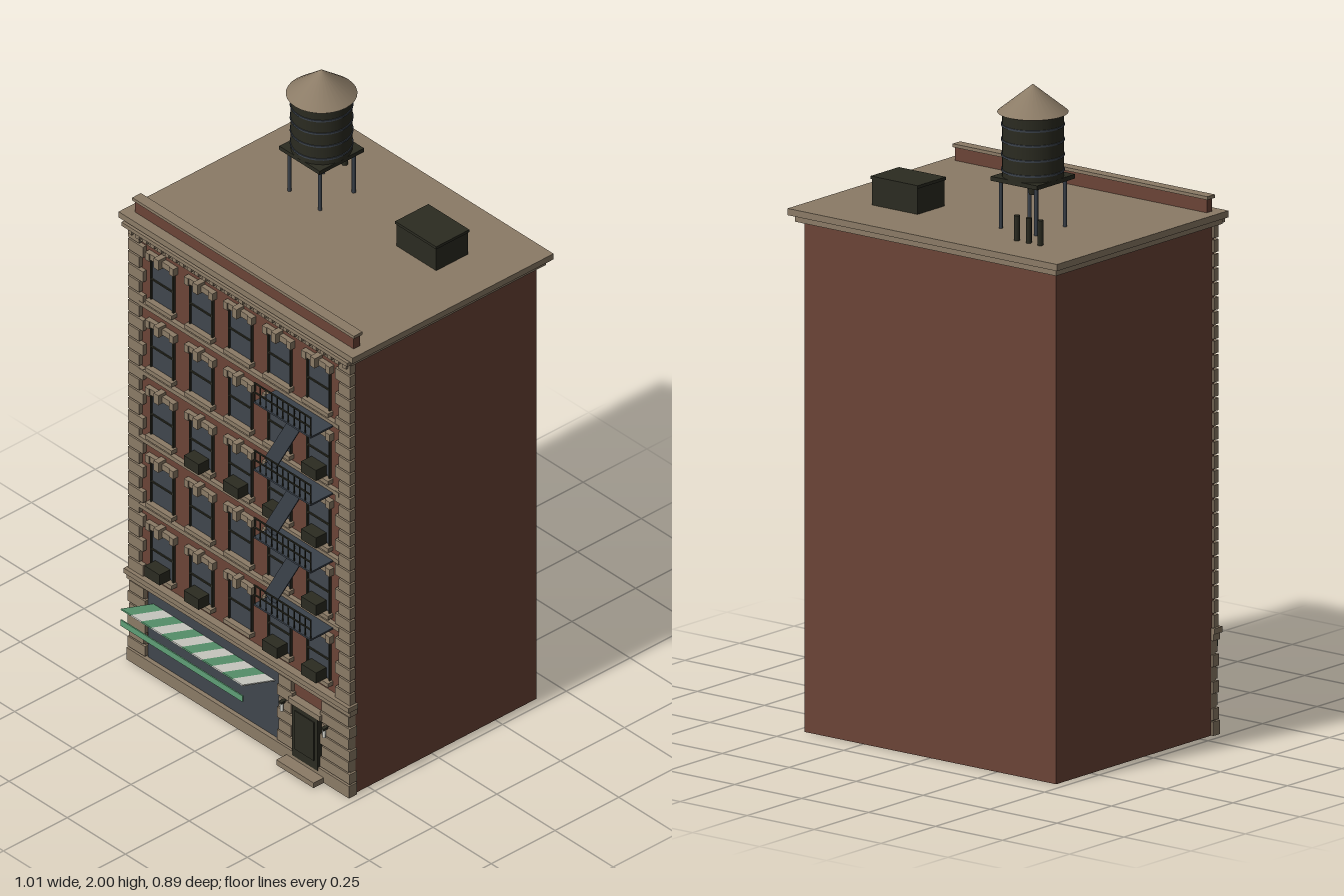
import * as THREE from 'three';

const paint = (name, color) => {
  const m = new THREE.MeshStandardMaterial({ color });
  m.name = name;
  return m;
};

export function createModel() {
  const brick = paint('brick', 0x6b4437);
  const stone = paint('stone', 0x8b7b66);
  const glass = paint('glass', 0x40464d);
  const iron = paint('iron', 0x3b424b);
  const dark = paint('dark wood', 0x2b2b21);
  const green = paint('awning green', 0x5f9f76);
  const white = paint('awning white', 0xdcdcd4);
  green.side = white.side = THREE.DoubleSide;

  const model = new THREE.Group();
  model.name = 'building';
  const group = (name) => {
    const g = new THREE.Group();
    g.name = name;
    model.add(g);
    return g;
  };
  const mesh = (parent, name, geo, mat, x, y, z) => {
    const m = new THREE.Mesh(geo, mat);
    m.name = name;
    m.position.set(x, y, z);
    parent.add(m);
    return m;
  };
  // Box given by its limits on each axis
  const box = (parent, name, mat, x0, x1, y0, y1, z0, z1) =>
    mesh(parent, name, new THREE.BoxGeometry(x1 - x0, y1 - y0, z1 - z0), mat,
      (x0 + x1) / 2, (y0 + y1) / 2, (z0 + z1) / 2);
  const cyl = (parent, name, mat, rTop, rBottom, y0, y1, x, z, sides = 12) =>
    mesh(parent, name, new THREE.CylinderGeometry(rTop, rBottom, y1 - y0, sides), mat, x, (y0 + y1) / 2, z);

  const F = 0.313; // front wall plane

  // Walls, roof cornice and front parapet
  box(model, 'walls', brick, -0.47, 0.47, 0, 1.54, -0.41, F);
  const roof = group('roof');
  box(roof, 'roofSlab', stone, -0.503, 0.503, 1.55, 1.57, -0.447, 0.34);
  box(roof, 'corniceLower', stone, -0.488, 0.488, 1.53, 1.55, -0.432, 0.33);
  box(roof, 'frontCornice', stone, -0.485, 0.485, 1.532, 1.545, F, 0.345);
  box(roof, 'frieze', stone, -0.475, 0.475, 1.5, 1.507, F, 0.325);
  for (let i = 0; i < 30; i++) {
    const x = -0.46 + (i * 0.92) / 29;
    box(roof, 'dentil', stone, x - 0.008, x + 0.008, 1.51, 1.532, F, 0.335);
  }
  box(roof, 'parapet', brick, -0.47, 0.47, 1.57, 1.61, 0.281, 0.306);
  box(roof, 'parapetCap', stone, -0.476, 0.476, 1.61, 1.62, 0.277, 0.311);

  // Corner quoins, alternating long and short
  const quoins = group('quoins');
  const rows = 28, rowH = (1.53 - 0.32) / rows;
  for (let i = 0; i < rows; i++) {
    const y = 0.32 + i * rowH, w = i % 2 ? 0.048 : 0.064;
    for (const s of [-1, 1]) {
      const a = s * 0.477, b = s * (0.477 - w);
      box(quoins, 'quoin', stone, Math.min(a, b), Math.max(a, b), y + 0.003, y + rowH - 0.003, 0.305, 0.327);
    }
  }

  // Windows with lintel, keystone, sill and sashes
  const windows = group('windows');
  const units = group('airConditioners');
  const unitColumns = [[0, 1, 3, 4], [4], [1, 2, 3, 4], [4], []];
  for (let r = 0; r < 5; r++) {
    const y = 0.36 + r * 0.238, top = y + 0.145;
    for (let c = 0; c < 5; c++) {
      const x = (c - 2) * 0.168 - 0.003;
      box(windows, 'windowFrame', iron, x - 0.05, x + 0.05, y, top, F - 0.01, F + 0.002);
      box(windows, 'windowGlass', glass, x - 0.043, x + 0.043, y + 0.006, top - 0.006, F - 0.01, F + 0.004);
      box(windows, 'meetingRail', dark, x - 0.047, x + 0.047, y + 0.07, y + 0.075, F, F + 0.008);
      for (const s of [-1, 1]) {
        box(windows, 'jamb', dark, x + s * 0.048 - 0.0025, x + s * 0.048 + 0.0025, y, top, F, F + 0.008);
      }
      box(windows, 'sill', stone, x - 0.057, x + 0.057, y - 0.014, y, F, 0.334);
      box(windows, 'lintel', stone, x - 0.06, x + 0.06, top, top + 0.02, F, 0.328);
      for (const s of [-1, 1]) {
        box(windows, 'lintelEnd', stone, x + s * 0.052 - 0.009, x + s * 0.052 + 0.009, top - 0.006, top + 0.02, F, 0.331);
      }
      box(windows, 'keystone', stone, x - 0.01, x + 0.01, top - 0.004, top + 0.03, F, 0.343);
      if (unitColumns[r].includes(c)) {
        box(units, 'airConditioner', dark, x - 0.032, x + 0.032, y, y + 0.037, F, 0.358);
      }
    }
    // Belt course above each of the lower four storeys
    if (r < 4) box(windows, 'beltCourse', stone, -0.43, 0.43, y + 0.2, y + 0.214, F, 0.328);
  }

  // Ground floor: base, piers, shop window, belt
  const shop = group('groundFloor');
  box(shop, 'base', stone, -0.478, 0.478, 0, 0.042, 0.3, 0.332);
  box(shop, 'mainBelt', stone, -0.48, 0.48, 0.285, 0.305, 0.3, 0.33);
  box(shop, 'mainBeltTop', stone, -0.483, 0.483, 0.305, 0.322, 0.3, 0.338);
  box(shop, 'shopGlass', glass, -0.4, 0.165, 0.042, 0.285, 0.3, F + 0.005);
  for (const [x0, x1] of [[-0.477, -0.403], [0.165, 0.23], [0.35, 0.477]]) {
    box(shop, 'pierCore', stone, x0 + 0.006, x1 - 0.006, 0.042, 0.285, 0.3, 0.32);
    for (let i = 0; i < 6; i++) {
      const y = 0.044 + i * 0.04, d = i % 2 ? 0.006 : 0;
      box(shop, 'pierBlock', stone, x0 + d, x1 - d, y + 0.002, y + 0.037, 0.3, 0.328);
    }
  }

  // Entrance with step, hood and lamps
  const entrance = group('entrance');
  box(entrance, 'door', dark, 0.236, 0.346, 0.03, 0.212, 0.3, 0.334);
  box(entrance, 'doorPanel', dark, 0.25, 0.332, 0.06, 0.195, 0.33, 0.337);
  box(entrance, 'doorHood', stone, 0.222, 0.358, 0.212, 0.23, 0.3, 0.338);
  box(entrance, 'doorStep', stone, 0.21, 0.37, 0, 0.018, 0.3, 0.372);
  for (const x of [0.196, 0.378]) {
    box(entrance, 'lampBracket', dark, x - 0.006, x + 0.006, 0.195, 0.202, 0.32, 0.345);
    cyl(entrance, 'lamp', white, 0.006, 0.005, 0.168, 0.195, x, 0.338, 8);
  }

  // Striped awning rising outward, with a hanging green valance
  const awning = group('awning');
  const w = 0.523 / 12, len = Math.hypot(0.13, 0.043);
  for (let i = 0; i < 12; i++) {
    const stripe = mesh(awning, 'awningStripe', new THREE.BoxGeometry(w, 0.004, len),
      i % 2 ? white : green, -0.378 + (i + 0.5) * w, 0.259, 0.38);
    stripe.rotation.x = -Math.atan2(0.043, 0.13);
  }
  box(awning, 'valance', green, -0.378, 0.145, 0.223, 0.244, 0.442, 0.446);

  // Fire escape: landings, railings and stairs
  const escape = group('fireEscape');
  for (let k = 0; k < 4; k++) {
    const y = 0.56 + k * 0.238;
    box(escape, 'landing', iron, 0.16, 0.405, y - 0.003, y + 0.003, F, 0.415);
    for (const h of [0.035, 0.068]) {
      box(escape, 'rail', dark, 0.16, 0.405, y + h - 0.002, y + h + 0.002, 0.411, 0.415);
    }
    for (let i = 0; i < 11; i++) {
      const x = 0.162 + i * 0.0241;
      box(escape, 'baluster', dark, x - 0.0015, x + 0.0015, y, y + 0.068, 0.411, 0.414);
    }
    if (k < 3) {
      const stair = mesh(escape, 'stair', new THREE.BoxGeometry(0.262, 0.048, 0.005), iron, 0.238, y + 0.119, 0.365);
      stair.rotation.z = Math.atan2(0.235, 0.13);
    }
  }

  // Water tower
  const tower = group('waterTower');
  const tx = -0.183, tz = -0.164;
  for (const sx of [-1, 1]) for (const sz of [-1, 1]) {
    cyl(tower, 'towerLeg', iron, 0.006, 0.006, 1.57, 1.715, tx + sx * 0.066, tz + sz * 0.066, 8);
  }
  box(tower, 'platform', dark, tx - 0.087, tx + 0.087, 1.713, 1.726, tz - 0.087, tz + 0.087);
  cyl(tower, 'drainPipe', dark, 0.018, 0.012, 1.67, 1.715, tx, tz);
  cyl(tower, 'tank', dark, 0.09, 0.09, 1.726, 1.92, tx, tz, 28);
  for (const y of [1.745, 1.79, 1.835, 1.88]) {
    cyl(tower, 'tankBand', iron, 0.0925, 0.0925, y - 0.003, y + 0.003, tx, tz, 28);
  }
  mesh(tower, 'tankRoof', new THREE.ConeGeometry(0.104, 0.083, 28), stone, tx, 1.9585, tz);

  // Roof hatch and vent pipes
  box(model, 'roofHatch', dark, 0.168, 0.338, 1.57, 1.65, -0.262, -0.138);
  box(model, 'roofHatchLid', dark, 0.165, 0.341, 1.648, 1.657, -0.265, -0.135);
  for (const x of [-0.327, -0.284, -0.24]) cyl(model, 'ventPipe', dark, 0.009, 0.009, 1.57, 1.645, x, -0.307, 10);

  return model;
}
